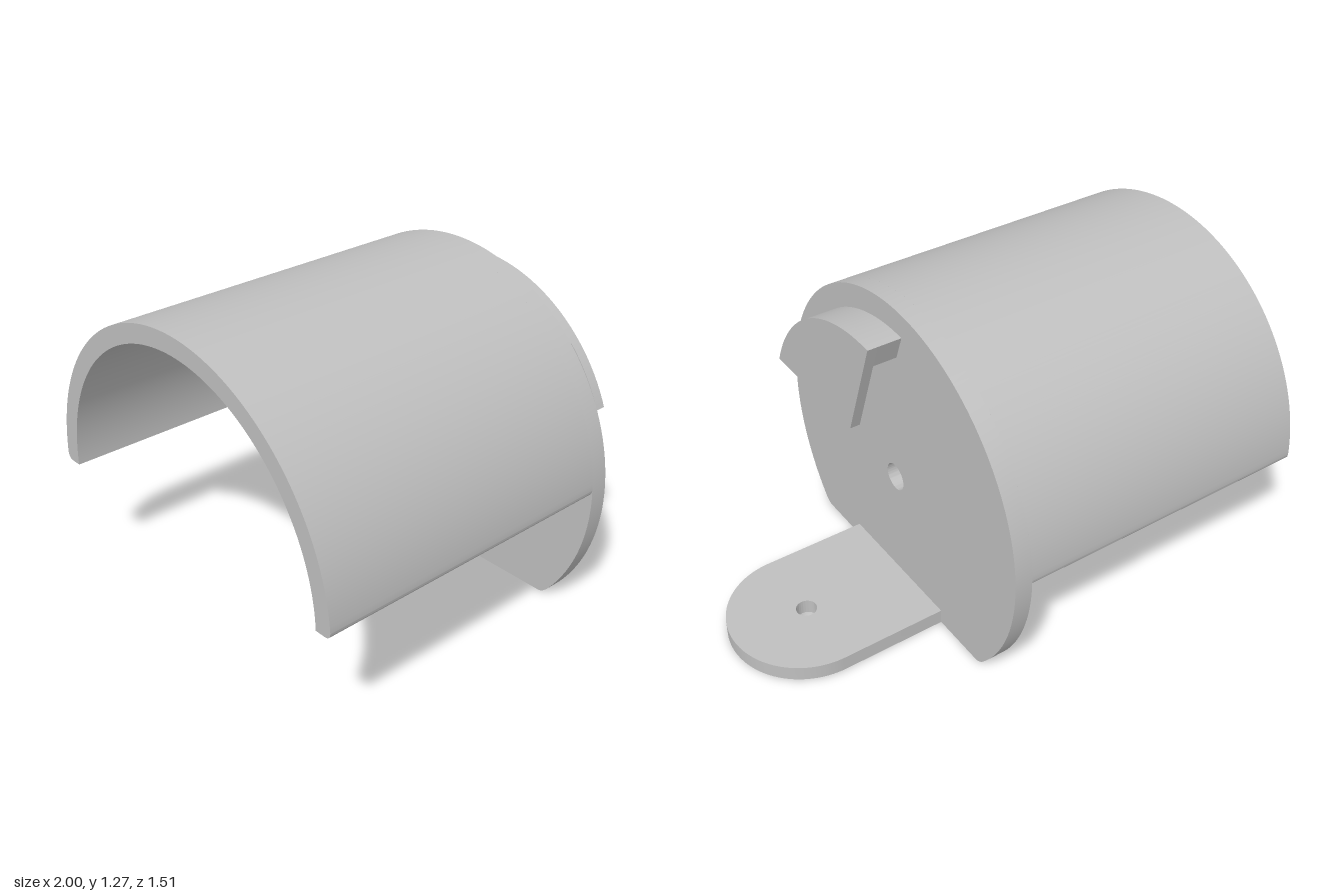
import * as THREE from 'three';
import { toCreasedNormals } from 'three/addons/utils/BufferGeometryUtils.js';

const CY = 0.515; // height of the cylinder axis
const R = 0.755;  // outer radius

export function createModel() {
  const model = new THREE.Group();
  model.name = 'halfRoundCover';
  const grey = new THREE.MeshStandardMaterial({ color: 0xbfbfbf });
  grey.name = 'plain grey';

  function extrude(shape, depth) {
    const geo = new THREE.ExtrudeGeometry(shape, { depth, bevelEnabled: false, curveSegments: 64 });
    return geo;
  }
  function add(name, geo) {
    const mesh = new THREE.Mesh(toCreasedNormals(geo, 0.5), grey);
    mesh.name = name;
    model.add(mesh);
  }
  // Profile drawn with x = -z of the model, extruded from x0 to x1
  function addAlongX(name, shape, x0, x1) {
    add(name, extrude(shape, x1 - x0).rotateY(Math.PI / 2).translate(x0, 0, 0));
  }
  function hole(shape, x, y, r) {
    shape.holes.push(new THREE.Path().absarc(x, y, r, 0, Math.PI * 2, true));
  }

  // Half-round shell with rounded outer lower edges
  const inner = 0.685, f = 0.03, a = f / R;
  const ex = R * Math.cos(a), ey = CY + R * Math.sin(a);
  const shell = new THREE.Shape();
  shell.moveTo(inner, CY);
  shell.lineTo(R - f, CY);
  shell.quadraticCurveTo(R, CY, ex, ey);
  shell.absarc(0, CY, R, a, Math.PI - a, false);
  shell.quadraticCurveTo(-R, CY, -R + f, CY);
  shell.lineTo(-inner, CY);
  shell.absarc(0, CY, inner, Math.PI, 0, true);
  addAlongX('shell', shell, -1, 0.21);

  // Round end plate with a flat foot, rounded corners and a centre hole
  const b = -0.6975;
  const plate = new THREE.Shape();
  plate.moveTo(-0.53, 0);
  plate.lineTo(0.53, 0);
  plate.quadraticCurveTo(0.553, 0, R * Math.cos(b), CY + R * Math.sin(b));
  plate.absarc(0, CY, R, b, Math.PI - b, false);
  plate.quadraticCurveTo(-0.553, 0, -0.53, 0);
  hole(plate, 0, CY, 0.055);
  addAlongX('endPlate', plate, 0.21, 0.28);

  // Mounting tongue with a round end and a screw hole
  const tongue = new THREE.Shape();
  tongue.moveTo(0.28, -0.3);
  tongue.lineTo(0.7, -0.3);
  tongue.absarc(0.7, 0, 0.3, -Math.PI / 2, Math.PI / 2, false);
  tongue.lineTo(0.28, 0.3);
  hole(tongue, 0.695, 0, 0.04);
  add('mountingTongue', extrude(tongue, 0.06).rotateX(-Math.PI / 2));

  // Hook: sector-shaped blade carried by a curved web
  const r = 0.663, rIn = 0.56;
  const top = Math.atan2(1.174 - CY, 0.073);
  const at = (rad, y) => Math.PI - Math.asin((y - CY) / rad);
  const blade = new THREE.Shape();
  blade.moveTo(-0.08, 0.75);
  blade.lineTo(r * Math.cos(top), CY + r * Math.sin(top));
  blade.absarc(0, CY, r, top, at(r, 0.75), false);
  addAlongX('hookBlade', blade, 0.375, 0.415);

  const topIn = Math.acos(0.036 / rIn);
  const web = new THREE.Shape();
  web.moveTo(rIn * Math.cos(topIn), CY + rIn * Math.sin(topIn));
  web.lineTo(r * Math.cos(top), CY + r * Math.sin(top));
  web.absarc(0, CY, r, top, at(r, 0.97), false);
  web.absarc(0, CY, rIn, at(rIn, 0.97), topIn, true);
  addAlongX('hookWeb', web, 0.28, 0.375);

  return model;
}
